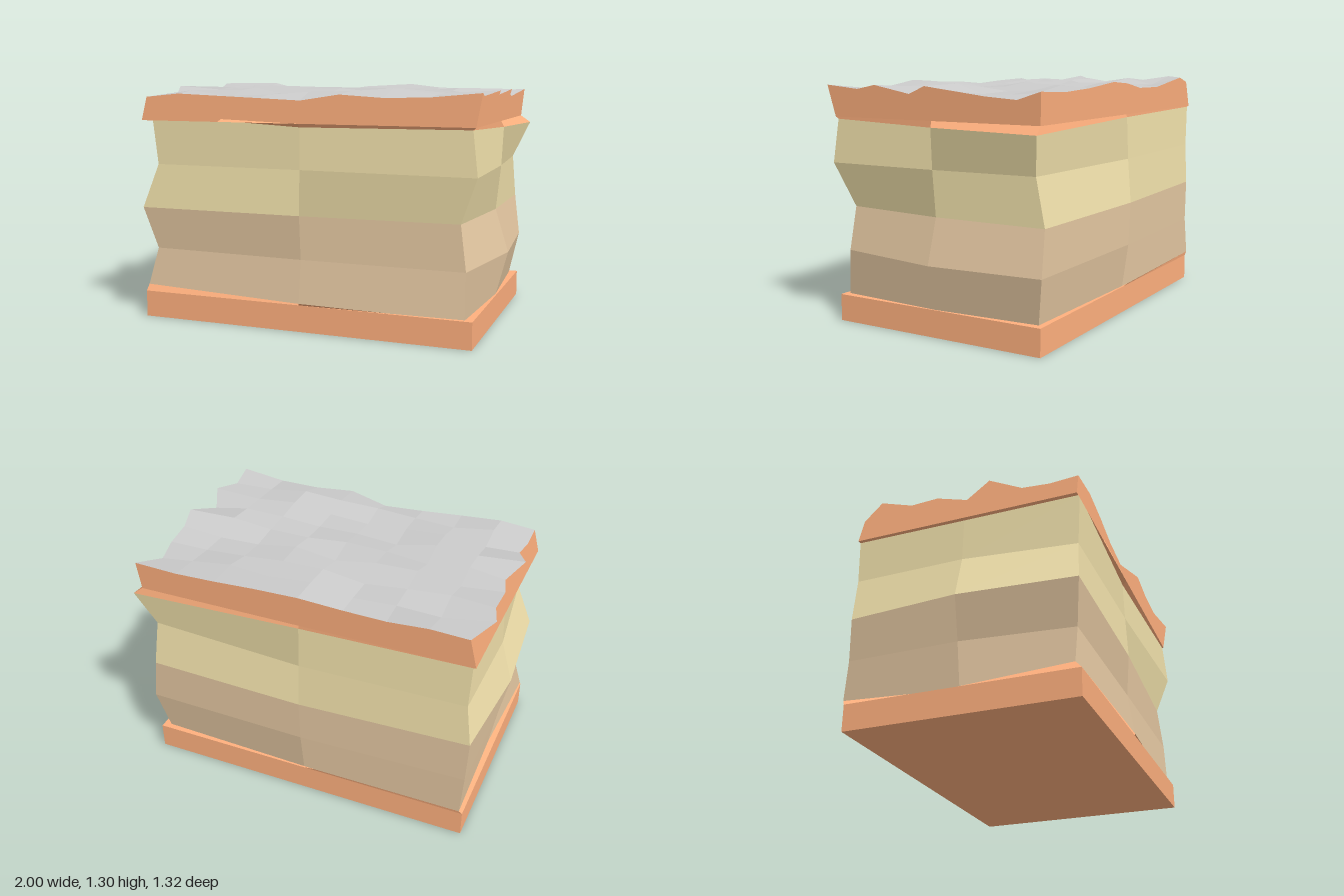
import * as THREE from 'three';

const ORANGE = 0xffb07e, YELLOW = 0xf2e2ac, TAN = 0xe6c9a3, GREY = 0xcccccc;
const HX = 0.945, HZ = 0.63, CZ = 0.005, BASE_Y = 0.147, SLAB_Y = 1.12;

function mesh(name, geometry, color) {
  const material = new THREE.MeshStandardMaterial({ color, side: THREE.DoubleSide });
  const m = new THREE.Mesh(geometry, material);
  m.name = name;
  return m;
}

// Faceted surface from rows of points: one flat normal per four-sided cell,
// or a single normal for the whole strip when oneFacet is set
function skin(rows, { closed = false, oneFacet = false } = {}) {
  const positions = [], cellNormals = [];
  const n = rows[0].length;
  for (let r = 0; r < rows.length - 1; r++) {
    for (let i = 0; i < (closed ? n : n - 1); i++) {
      const j = (i + 1) % n;
      const [a, b, c, d] = [rows[r][i], rows[r][j], rows[r + 1][j], rows[r + 1][i]]
        .map((p) => new THREE.Vector3(...p));
      for (const p of [a, b, c, a, c, d]) positions.push(p.x, p.y, p.z);
      cellNormals.push(c.clone().sub(a).cross(d.clone().sub(b)));
    }
  }
  const total = new THREE.Vector3();
  cellNormals.forEach((v) => total.add(v));
  const normals = cellNormals.flatMap((v) => {
    const u = (oneFacet ? total : v).clone().normalize().toArray();
    return Array(6).fill(u).flat();
  });
  const g = new THREE.BufferGeometry();
  g.setAttribute('position', new THREE.Float32BufferAttribute(positions, 3));
  g.setAttribute('normal', new THREE.Float32BufferAttribute(normals, 3));
  return g;
}

// Ring order: front left end, front middle, then round by +x and the back
const rectRing = (y) => [
  [-HX, y, CZ + HZ], [0, y, CZ + HZ], [HX, y, CZ + HZ], [HX, y, CZ],
  [HX, y, CZ - HZ], [0, y, CZ - HZ], [-HX, y, CZ - HZ], [-HX, y, CZ],
];

// Small repeatable random numbers for the rough top
function seeded(seed) {
  return () => {
    seed = (seed * 16807) % 2147483647;
    return seed / 2147483647;
  };
}

export function createModel() {
  const group = new THREE.Group();
  group.name = 'layeredBlock';

  // Base plinth
  const base = mesh('base', new THREE.BoxGeometry(HX * 2, BASE_Y, HZ * 2), ORANGE);
  base.position.set(0, BASE_Y / 2, CZ);
  group.add(base);

  // Uneven wall rings, bottom to top
  const rings = [
    [[-0.945, 0.18, 0.605], [0, 0.156, 0.638], [0.9, 0.14, 0.61], [0.935, 0.14, 0],
      [0.9, 0.14, -0.59], [0, 0.145, -0.615], [-0.93, 0.175, -0.64], [-0.91, 0.15, 0]],
    [[-0.88, 0.395, 0.6], [0, 0.39, 0.605], [0.9, 0.39, 0.6], [1.0, 0.39, 0],
      [0.95, 0.39, -0.635], [0, 0.39, -0.65], [-0.94, 0.39, -0.62], [-0.95, 0.39, 0]],
    [[-0.95, 0.63, 0.635], [0, 0.63, 0.625], [0.865, 0.63, 0.58], [0.925, 0.63, 0],
      [0.92, 0.63, -0.635], [0, 0.63, -0.66], [-0.95, 0.63, -0.62], [-1.0, 0.63, 0]],
    [[-0.86, 0.875, 0.61], [0, 0.875, 0.615], [0.96, 0.875, 0.645], [0.95, 0.875, 0],
      [0.91, 0.875, -0.58], [0, 0.875, -0.64], [-0.92, 0.875, -0.62], [-0.93, 0.875, 0]],
    [[-0.88, 1.15, 0.63], [0, 1.1, 0.61], [0.93, 1.108, 0.63], [0.96, 1.088, 0],
      [1.0, 1.08, -0.635], [0, 1.105, -0.63], [-0.93, 1.115, -0.62], [-0.92, 1.12, 0]],
  ];
  group.add(mesh('lowerLayer', skin(rings.slice(0, 3), { closed: true }), TAN));
  group.add(mesh('upperLayer', skin(rings.slice(2), { closed: true }), YELLOW));

  // Narrow sloping ledges joining the walls to the base and the slab
  group.add(mesh('lowerLedge', skin([rectRing(BASE_Y), rings[0]], { closed: true }), ORANGE));
  group.add(mesh('upperLedge', skin([rings[4], rectRing(SLAB_Y)], { closed: true }), ORANGE));

  // Rough top: an 8 by 8 grid with wandering edges, rows from back to front
  const leftX = [-0.905, -0.985, -0.94, -0.945, -0.905, -0.97, -0.9, -0.91, -0.91];
  const leftY = [1.272, 1.305, 1.28, 1.283, 1.26, 1.3, 1.26, 1.24, 1.25];
  const rightX = [0.96, 0.9, 0.94, 0.95, 1.0, 0.92, 1.0, 0.95, 0.98];
  const rightY = [1.28, 1.235, 1.25, 1.27, 1.295, 1.25, 1.295, 1.27, 1.29];
  const backZ = [-0.62, -0.655, -0.605, -0.6, -0.63, -0.66, -0.64, -0.635, -0.635];
  const backY = [1.272, 1.305, 1.255, 1.257, 1.29, 1.305, 1.28, 1.27, 1.28];
  const frontZ = [0.635, 0.635, 0.625, 0.61, 0.605, 0.65, 0.64, 0.635, 0.655];
  const frontY = [1.25, 1.27, 1.26, 1.25, 1.24, 1.275, 1.26, 1.265, 1.29];
  const gridX = (i) => -HX + (HX * i) / 4;
  const gridZ = (k) => CZ - HZ + (HZ * k) / 4;
  const random = seeded(4217);
  const top = [];
  for (let k = 0; k <= 8; k++) {
    const row = [];
    for (let i = 0; i <= 8; i++) {
      const p = [gridX(i), 1.245 + 0.06 * random(), gridZ(k)];
      if (i === 0) [p[0], p[1]] = [leftX[k], leftY[k]];
      if (i === 8) [p[0], p[1]] = [rightX[k], rightY[k]];
      if (k === 0) [p[1], p[2]] = [backY[i], backZ[i]];
      if (k === 8) [p[1], p[2]] = [frontY[i], frontZ[i]];
      row.push(p);
    }
    top.push(row);
  }
  group.add(mesh('roughTop', skin([...top].reverse()), GREY));

  // Slab sides: straight bottom edge up to the rough top edge, one facet a side
  const sides = {
    slabFront: (s) => [8, s],
    slabLeft: (s) => [8 - s, 8],
    slabBack: (s) => [0, 8 - s],
    slabRight: (s) => [s, 0],
  };
  for (const [name, cell] of Object.entries(sides)) {
    const upper = [], lower = [];
    for (let s = 0; s <= 8; s++) {
      const [k, i] = cell(s);
      upper.push(top[k][i]);
      lower.push([gridX(i), SLAB_Y, gridZ(k)]);
    }
    group.add(mesh(name, skin([lower, upper], { oneFacet: true }), ORANGE));
  }

  return group;
}
